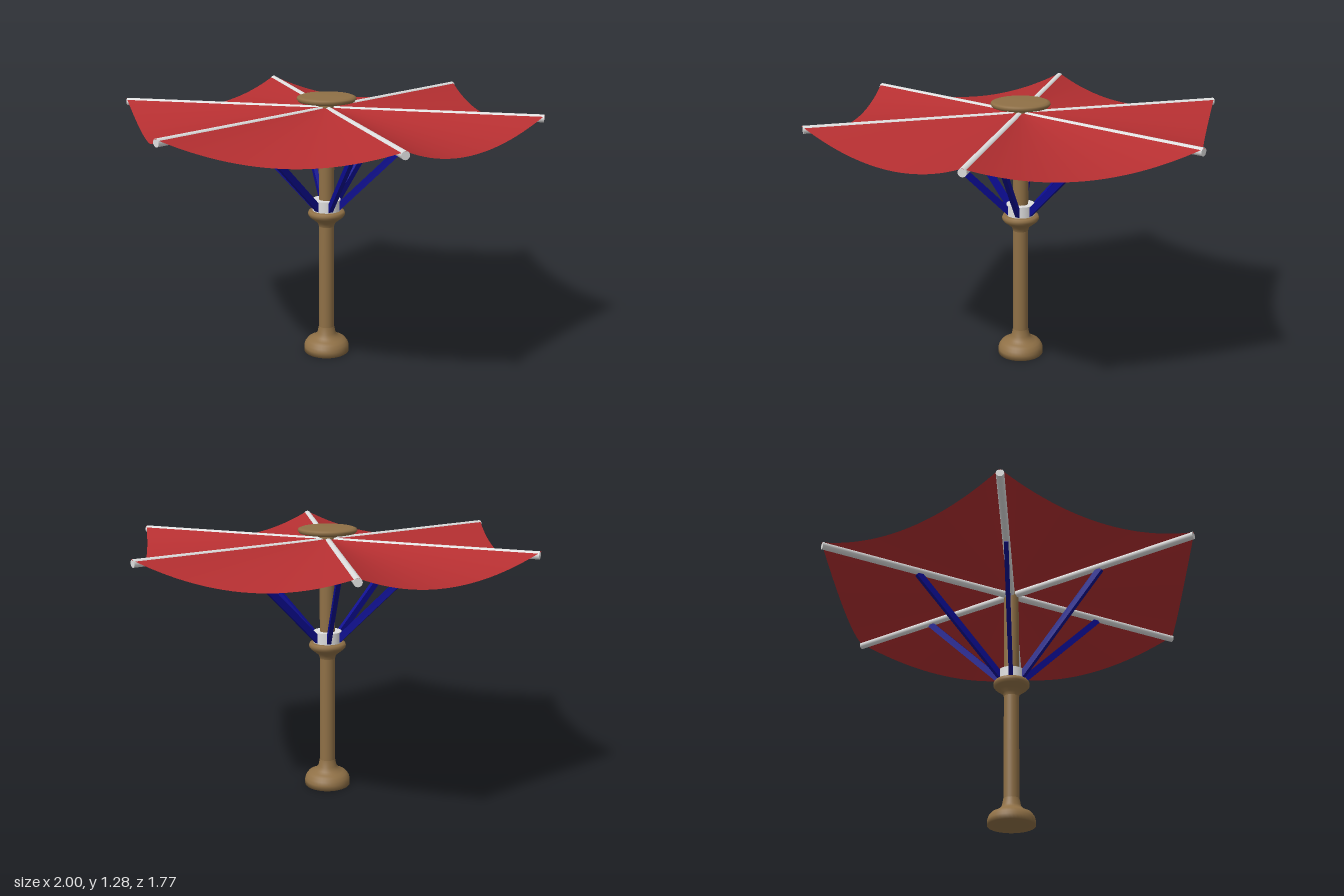
import * as THREE from 'three';

const SIDES = 6;
const STEP = (Math.PI * 2) / SIDES;
const TURN = THREE.MathUtils.degToRad(2); // slight twist of the canopy
const RIM_Y = 1.235;

const wood = new THREE.MeshStandardMaterial({ name: 'wood', color: 0x8f7046 });
const cloth = new THREE.MeshStandardMaterial({ name: 'red cloth', color: 0xb52f31, side: THREE.DoubleSide });
const white = new THREE.MeshStandardMaterial({ name: 'white metal', color: 0xdedede });
const blue = new THREE.MeshStandardMaterial({ name: 'blue metal', color: 0x0b0b90 });

function add(parent, name, geometry, material) {
  const mesh = new THREE.Mesh(geometry, material);
  mesh.name = name;
  parent.add(mesh);
  return mesh;
}

// Turned part from [radius, height] pairs, listed upwards
function turned(profile) {
  return new THREE.LatheGeometry(profile.map(([r, y]) => new THREE.Vector2(r, y)), 40);
}

// One cloth panel: straight along both spokes, hanging and drawn inwards between them
function panelGeometry() {
  const geometry = new THREE.PlaneGeometry(1, 1, 24, 16);
  const pos = geometry.attributes.position;
  const half = STEP / 2;
  for (let i = 0; i < pos.count; i++) {
    const t = pos.getX(i) * 2;
    const r = 0.5 - pos.getY(i);
    const hang = 1 - t * t;
    const out = r * (Math.cos(half) - 0.02 * hang);
    pos.setXYZ(i, out, RIM_Y - 0.098 * hang * r, t * r * Math.sin(half));
  }
  geometry.computeVertexNormals();
  return geometry;
}

export function createModel() {
  const model = new THREE.Group();
  model.name = 'parasol';

  // Foot, post and flared collar
  add(model, 'foot', turned([
    [0, 0], [0.112, 0], [0.112, 0.025], [0.107, 0.042], [0.095, 0.058],
    [0.078, 0.066], [0.058, 0.078], [0.045, 0.095], [0.038, 0.13],
  ]), wood);
  add(model, 'post', new THREE.CylinderGeometry(0.037, 0.037, 1.18, 32).translate(0, 0.67, 0), wood);
  add(model, 'collar', turned([
    [0.037, 0.65], [0.042, 0.668], [0.062, 0.684], [0.08, 0.698], [0.088, 0.708],
    [0.089, 0.718], [0.085, 0.728], [0.07, 0.731], [0, 0.731],
  ]), wood);

  // Sliding hub that carries the struts
  add(model, 'strutHub', new THREE.CylinderGeometry(0.068, 0.068, 0.055, 32).translate(0, 0.758, 0), white);

  // Rounded disc on top
  add(model, 'topCap', turned([
    [0, 1.255], [0.115, 1.255], [0.132, 1.259], [0.14, 1.27],
    [0.136, 1.279], [0.122, 1.284], [0, 1.284],
  ]), wood);

  // Six spokes, struts and cloth panels
  const spoke = new THREE.CylinderGeometry(0.018, 0.018, 0.995, 16);
  spoke.rotateZ(-Math.PI / 2).translate(0.4975, RIM_Y - 0.0165, 0);
  const from = new THREE.Vector2(0.055, 0.745);
  const to = new THREE.Vector2(0.51, 1.205);
  const strut = new THREE.BoxGeometry(from.distanceTo(to), 0.032, 0.02);
  strut.rotateZ(Math.atan2(to.y - from.y, to.x - from.x));
  strut.translate((from.x + to.x) / 2, (from.y + to.y) / 2, 0);
  const panel = panelGeometry();

  const canopy = new THREE.Group();
  canopy.name = 'canopy';
  canopy.rotation.y = -TURN;
  model.add(canopy);
  for (let i = 0; i < SIDES; i++) {
    add(canopy, 'spoke', spoke, white).rotation.y = i * STEP;
    add(canopy, 'strut', strut, blue).rotation.y = i * STEP;
    add(canopy, 'clothPanel', panel, cloth).rotation.y = (i + 0.5) * STEP;
  }
  return model;
}
